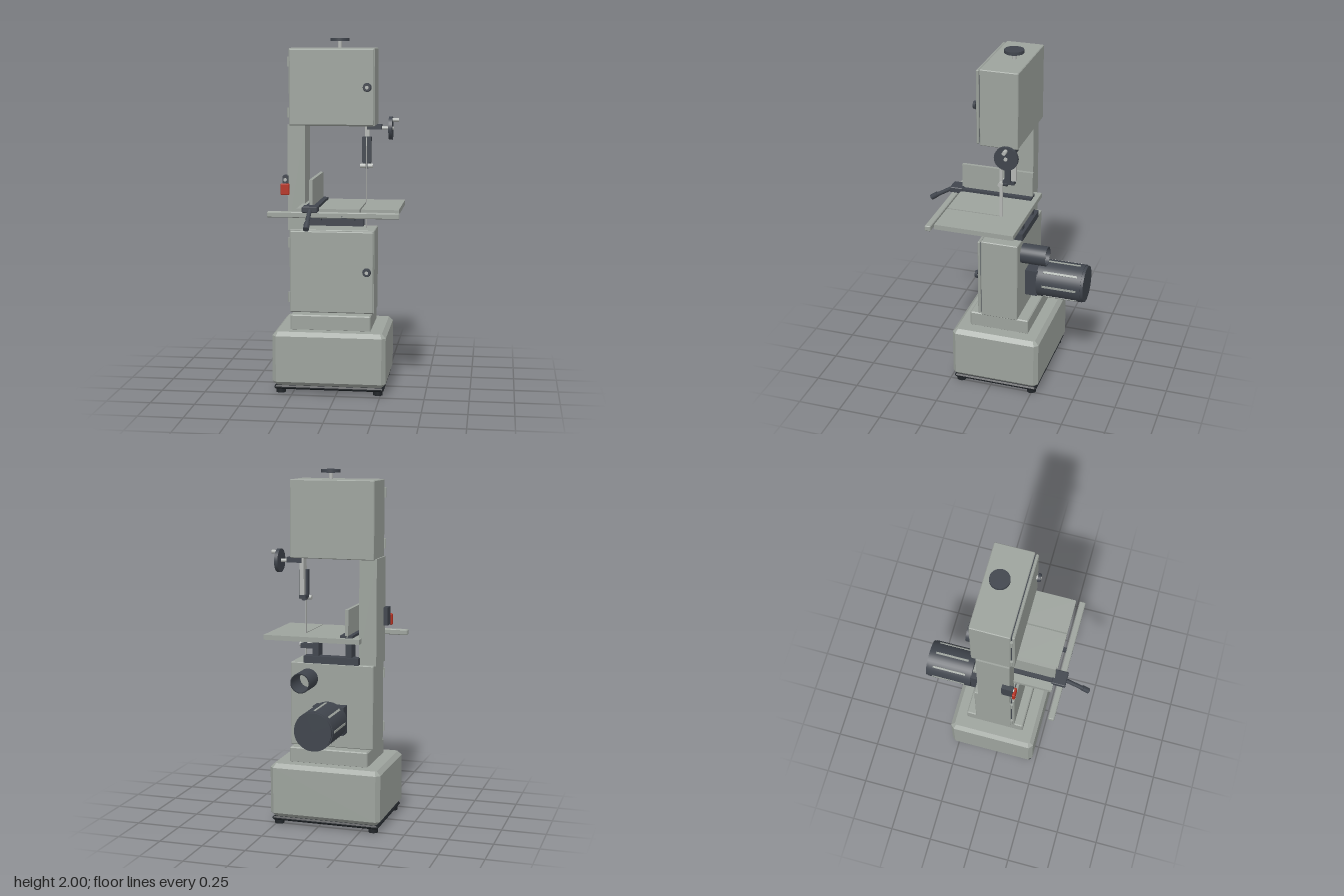
import * as THREE from 'three';

const mat = (name, color, side = THREE.FrontSide) => {
  const m = new THREE.MeshStandardMaterial({ color, side });
  m.name = name;
  return m;
};

export function createModel() {
  const root = new THREE.Group();
  root.name = 'bandsaw';
  const paint = mat('greyPaint', 0x9da39d);
  const dark = mat('charcoal', 0x40454d, THREE.DoubleSide);
  const black = mat('blackRubber', 0x202428);
  const steel = mat('steel', 0xb4b7b4);
  const red = mat('switchRed', 0xb5301f);

  const add = (name, geo, m) => {
    const mesh = new THREE.Mesh(geo, m);
    mesh.name = name;
    root.add(mesh);
    return mesh;
  };
  // Plain box given by its limits on each axis
  const box = (name, m, x0, x1, y0, y1, z0, z1) => {
    const g = new THREE.BoxGeometry(x1 - x0, y1 - y0, z1 - z0);
    g.translate((x0 + x1) / 2, (y0 + y1) / 2, (z0 + z1) / 2);
    return add(name, g, m);
  };
  // Box with every edge chamfered by c
  const chamferBox = (name, m, x0, x1, y0, y1, z0, z1, c) => {
    const w = (x1 - x0) / 2 - c, d = (z1 - z0) / 2 - c, k = c * 0.4;
    const s = new THREE.Shape([
      [-w + k, -d], [w - k, -d], [w, -d + k], [w, d - k],
      [w - k, d], [-w + k, d], [-w, d - k], [-w, -d + k],
    ].map(p => new THREE.Vector2(...p)));
    const g = new THREE.ExtrudeGeometry(s, {
      depth: y1 - y0 - 2 * c, bevelEnabled: true, bevelSize: c, bevelThickness: c, bevelSegments: 1,
    });
    g.rotateX(-Math.PI / 2);
    g.translate((x0 + x1) / 2, y0 + c, (z0 + z1) / 2);
    return add(name, g, m);
  };
  // Cylinder between two points
  const rod = (name, m, a, b, r, r2 = r, open = false, seg = 32) => {
    const A = new THREE.Vector3(...a), B = new THREE.Vector3(...b), dir = B.clone().sub(A);
    const mesh = add(name, new THREE.CylinderGeometry(r2, r, dir.length(), seg, 1, open), m);
    mesh.position.copy(A).add(B).multiplyScalar(0.5);
    mesh.quaternion.setFromUnitVectors(new THREE.Vector3(0, 1, 0), dir.normalize());
    return mesh;
  };

  // Base, tray, feet and plinth
  chamferBox('base', paint, -0.365, 0.28, 0.045, 0.355, -0.29, 0.23, 0.023);
  chamferBox('baseTray', black, -0.355, 0.27, 0.023, 0.045, -0.28, 0.22, 0.008);
  for (const x of [-0.32, 0.235]) for (const z of [-0.245, 0.185])
    rod('foot', black, [x, 0, z], [x, 0.025, z], 0.027);
  chamferBox('plinth', paint, -0.272, 0.187, 0.35, 0.44, -0.205, 0.145, 0.006);

  // Wheel cabinets with hinged doors
  for (const [part, y0, y1, knobY, hinges] of [
    ['lower', 0.44, 0.92, 0.685, [0.53, 0.845]],
    ['upper', 1.51, 1.945, 1.728, [1.585, 1.87]],
  ]) {
    chamferBox(part + 'Cabinet', paint, -0.286, 0.2, y0, y1, -0.143, 0.073, 0.004);
    box(part + 'DoorSeal', dark, -0.272, 0.188, y0 + 0.012, y1 - 0.012, 0.07, 0.079);
    chamferBox(part + 'Door', paint, -0.28, 0.196, y0 + 0.005, y1 - 0.006, 0.078, 0.094, 0.005);
    rod(part + 'DoorKnobStem', steel, [0.16, knobY, 0.09], [0.16, knobY, 0.107], 0.012);
    rod(part + 'DoorKnob', dark, [0.16, knobY, 0.102], [0.16, knobY, 0.118], 0.025, 0.021);
    rod(part + 'DoorKnobCap', steel, [0.16, knobY, 0.117], [0.16, knobY, 0.12], 0.01);
    for (const y of hinges) rod('hinge', paint, [-0.286, y - 0.028, 0.08], [-0.286, y + 0.028, 0.08], 0.008);
  }

  // Column
  box('column', paint, -0.295, -0.195, 0.915, 1.515, -0.115, 0.07);

  // Blade tension knob
  rod('tensionStem', steel, [-0.012, 1.94, -0.055], [-0.012, 1.985, -0.055], 0.011);
  rod('tensionKnob', dark, [-0.012, 1.982, -0.055], [-0.012, 2, -0.055], 0.054);

  // Table in one plate with a blade slot
  const t = new THREE.Shape([
    [-0.21, -0.29], [0.14, -0.29], [0.14, 0.035], [0.148, 0.035],
    [0.148, -0.29], [0.355, -0.29], [0.355, 0.165], [-0.21, 0.165],
  ].map(p => new THREE.Vector2(...p)));
  const tg = new THREE.ExtrudeGeometry(t, { depth: 0.028, bevelEnabled: false });
  tg.rotateX(-Math.PI / 2);
  tg.translate(0, 1.042, 0);
  add('table', tg, paint);
  chamferBox('frontRail', paint, -0.365, 0.362, 1.026, 1.058, 0.31, 0.345, 0.004);
  for (const x of [-0.13, 0.06]) box('railBracket', dark, x - 0.012, x + 0.012, 1.022, 1.042, 0.25, 0.345);

  // Rip fence with clamp lever
  box('fenceBeam', dark, -0.162, -0.09, 1.07, 1.084, -0.135, 0.3);
  box('fencePlate', paint, -0.138, -0.119, 1.072, 1.23, -0.135, 0.29);
  chamferBox('fenceHead', dark, -0.17, -0.084, 1.056, 1.09, 0.278, 0.358, 0.004);
  rod('leverArm', dark, [-0.127, 1.068, 0.35], [-0.127, 1.0, 0.465], 0.012);
  rod('leverGrip', dark, [-0.127, 1.01, 0.45], [-0.127, 0.985, 0.487], 0.016);

  // Table trunnion
  box('trunnionBar', dark, -0.2, 0.12, 0.92, 0.96, -0.15, -0.09);
  for (const x of [-0.14, 0.055]) {
    box('trunnionPost', dark, x - 0.018, x + 0.018, 0.955, 1.042, -0.135, -0.06);
    rod('trunnionBolt', steel, [x, 0.995, -0.06], [x, 0.995, -0.05], 0.012);
  }

  // Blade and guides
  box('blade', steel, 0.1425, 0.1455, 0.91, 1.52, -0.04, -0.022);
  box('guidePost', steel, 0.128, 0.154, 1.3, 1.52, -0.118, -0.088);
  box('guideHousing', dark, 0.115, 0.167, 1.295, 1.44, -0.09, -0.058);
  box('guideArm', dark, 0.122, 0.16, 1.278, 1.3, -0.11, -0.045);
  for (const y of [1.278, 1.005]) {
    for (const s of [-1, 1])
      rod('guideRoller', steel, [0.144 + s * 0.006, y, -0.035], [0.144 + s * 0.036, y, -0.035], 0.013);
    rod('thrustBearing', dark, [0.144, y, -0.068], [0.144, y, -0.045], 0.017);
  }
  box('lowerGuideArm', dark, 0.05, 0.16, 0.992, 1.018, -0.09, -0.065);

  // Guide height handwheel
  box('handwheelBlock', dark, 0.14, 0.225, 1.482, 1.512, -0.128, -0.078);
  rod('handwheelAxle', steel, [0.2, 1.49, -0.102], [0.292, 1.49, -0.102], 0.01);
  rod('handwheel', dark, [0.266, 1.49, -0.102], [0.286, 1.49, -0.102], 0.067);
  rod('handwheelGrip', steel, [0.284, 1.537, -0.102], [0.322, 1.537, -0.102], 0.011);

  // Motor with cooling strips
  const mx = -0.045, my = 0.61;
  box('motorMount', dark, -0.135, 0.045, 0.53, 0.69, -0.217, -0.14);
  rod('motorBody', dark, [mx, my, -0.213], [mx, my, -0.475], 0.11, 0.11, false, 48);
  rod('motorCap', dark, [mx, my, -0.474], [mx, my, -0.49], 0.106, 0.106, false, 48);
  for (let i = 0; i < 8; i++) {
    const fin = new THREE.BoxGeometry(0.012, 0.006, 0.2);
    fin.translate(0, 0.11, 0);
    const m = add('motorFin', fin, paint);
    m.position.set(mx, my, -0.35);
    m.rotation.z = i * Math.PI / 4;
  }

  // Dust port: hollow tube
  const port = new THREE.LatheGeometry([
    [0.05, 0], [0.05, 0.148], [0.057, 0.148], [0.057, 0],
  ].map(p => new THREE.Vector2(...p)), 40);
  const pm = add('dustPort', port, dark);
  pm.rotation.x = -Math.PI / 2;
  pm.position.set(0.094, 0.83, -0.142);

  // Power switch with red stop cover
  box('switchBox', dark, -0.32, -0.29, 1.125, 1.228, 0.03, 0.094);
  chamferBox('stopCover', red, -0.33, -0.28, 1.12, 1.185, 0.092, 0.11, 0.004);
  rod('startButton', steel, [-0.305, 1.206, 0.092], [-0.305, 1.206, 0.1], 0.01);

  return root;
}
